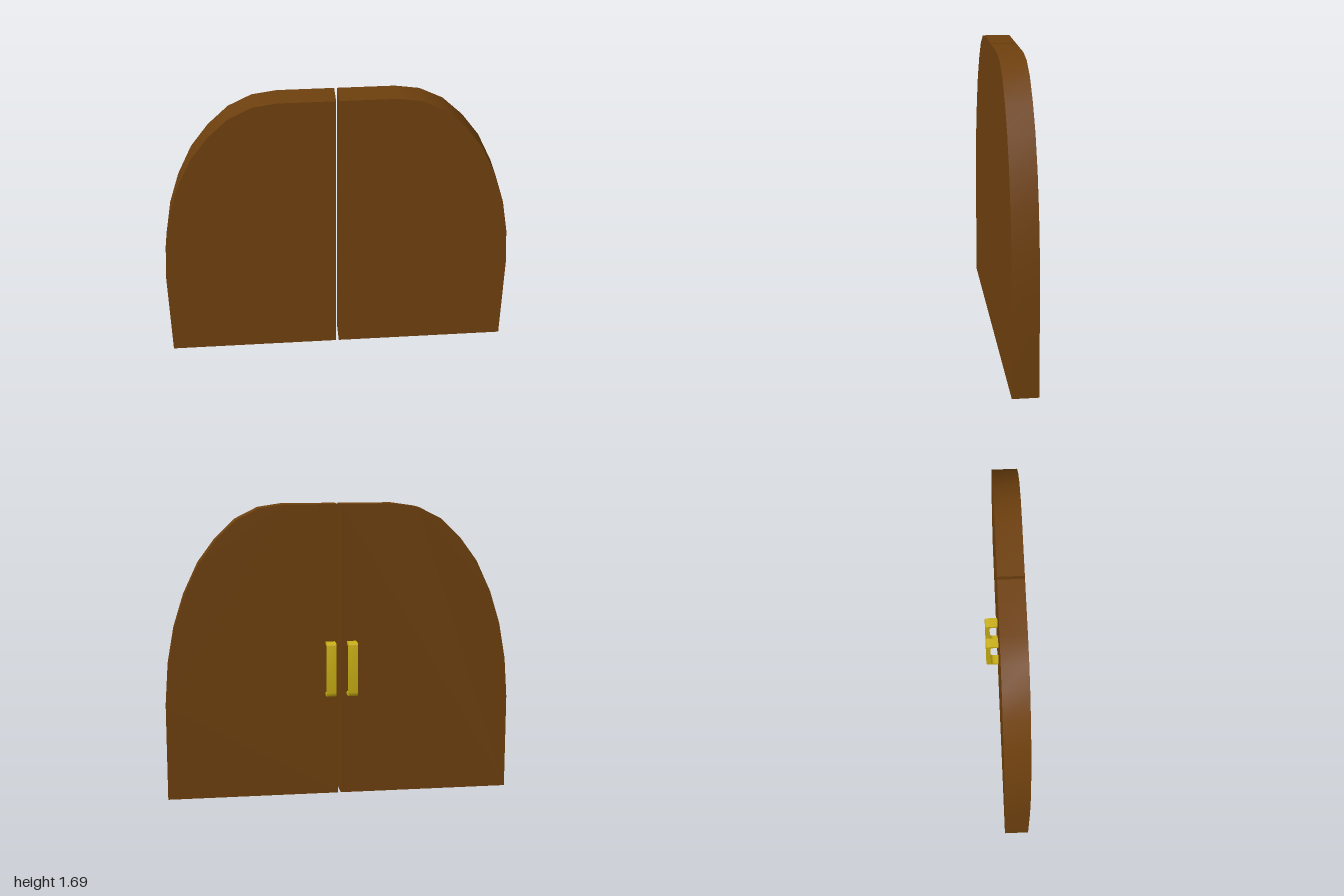
import * as THREE from 'three';
import { toCreasedNormals } from 'three/addons/utils/BufferGeometryUtils.js';

const BACK = -0.035, FRONT = 0.108;

export function createModel() {
  const group = new THREE.Group();
  const wood = new THREE.MeshStandardMaterial({ color: 0x6e400e });
  const brass = new THREE.MeshStandardMaterial({ color: 0xc8ae12 });

  // Door leaf outline: straight jamb, then an arched shoulder up to a flat top
  const outline = [
    [0.008, 0], [1, 0], [1, 0.55], [0.983, 0.78], [0.945, 0.99], [0.885, 1.18], [0.8, 1.36],
    [0.7, 1.495], [0.585, 1.605], [0.455, 1.67], [0.32, 1.69], [0.008, 1.69],
  ];
  function leafGeometry(side) {
    const points = outline.map(([x, y]) => new THREE.Vector2(side * x, y));
    const geometry = new THREE.ExtrudeGeometry(new THREE.Shape(points), {
      depth: FRONT - BACK, bevelEnabled: false,
    });
    geometry.translate(0, 0, BACK);
    return toCreasedNormals(geometry, 0.6);
  }

  // Pull handle: rounded C profile (distance behind the origin, height), extruded sideways
  const near = -BACK - 0.002, far = 0.108, low = 0.592, high = 0.906;
  const wall = 0.017, grip = 0.081, r = 0.025;
  const profile = new THREE.Shape();
  profile.moveTo(near, low);
  profile.lineTo(far - r, low);
  profile.quadraticCurveTo(far, low, far, low + r);
  profile.lineTo(far, high - r);
  profile.quadraticCurveTo(far, high, far - r, high);
  profile.lineTo(near, high);
  profile.lineTo(near, high - wall);
  profile.lineTo(grip - r, high - wall);
  profile.quadraticCurveTo(grip, high - wall, grip, high - wall - r);
  profile.lineTo(grip, low + wall + r);
  profile.quadraticCurveTo(grip, low + wall, grip - r, low + wall);
  profile.lineTo(near, low + wall);
  profile.closePath();
  const handleGeometry = toCreasedNormals(
    new THREE.ExtrudeGeometry(profile, { depth: 0.054, bevelEnabled: false, curveSegments: 5 })
      .rotateY(Math.PI / 2), 0.6);

  // Two leaves, each with a handle on the back beside the meeting gap
  for (const [name, side, handleX] of [['left', 1, 0.028], ['right', -1, -0.096]]) {
    const leaf = new THREE.Mesh(leafGeometry(side), wood);
    leaf.name = name + 'Door';
    const handle = new THREE.Mesh(handleGeometry, brass);
    handle.name = name + 'Handle';
    handle.position.x = handleX;
    group.add(leaf, handle);
  }
  return group;
}
